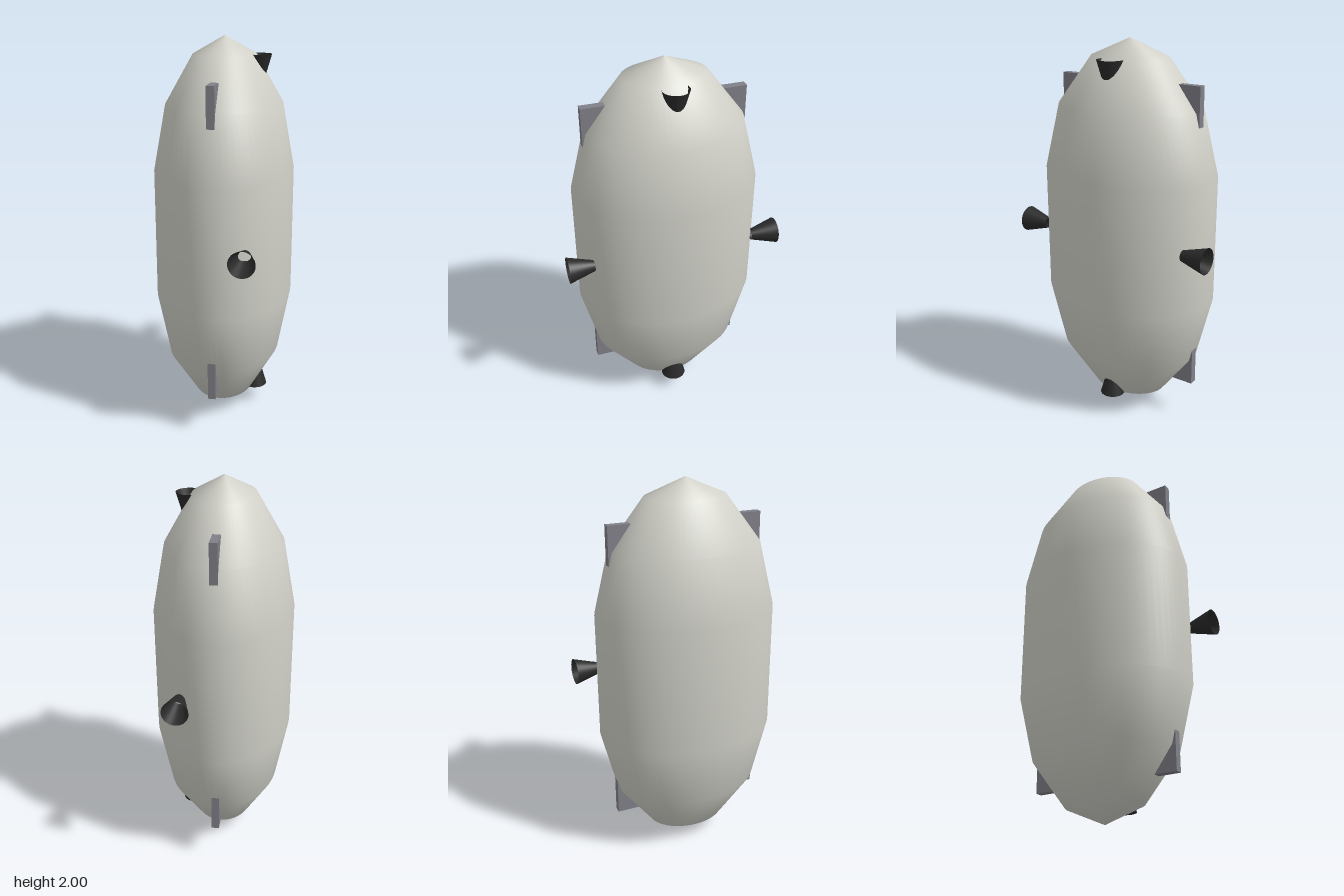
import * as THREE from 'three';

export function createModel() {
  const model = new THREE.Group();
  const mat = (name, color) => new THREE.MeshStandardMaterial({ name, color });
  const hullMat = mat('pale grey hull', 0xd0d0c8);
  const finMat = mat('mid grey fins', 0x808088);
  const nozzleMat = mat('dark nozzles', 0x2a2a2a);
  nozzleMat.side = THREE.DoubleSide;

  const add = (name, geometry, material, x, y, z) => {
    const mesh = new THREE.Mesh(geometry, material);
    mesh.name = name;
    mesh.position.set(x, y, z);
    model.add(mesh);
    return mesh;
  };

  // Hull: mirrored capsule profile, flattened to an oval section
  const half = [[0.358, 0.333], [0.296, 0.667], [0.158, 0.91], [0, 1]];
  const profile = [
    ...half.map(([r, y]) => new THREE.Vector2(r, -y)).reverse(),
    ...half.map(([r, y]) => new THREE.Vector2(r, y)),
  ];
  const hull = new THREE.LatheGeometry(profile, 64);
  hull.scale(1, 1, 0.478 / 0.358);
  add('hull', hull, hullMat, 0, 1, 0);

  // Hollow flared nozzles, wide end pointing away from the hull
  const nozzle = new THREE.CylinderGeometry(0.067, 0.028, 0.135, 32, 1, true);
  for (const s of [1, -1]) {
    const end = add(s > 0 ? 'topNozzle' : 'bottomNozzle', nozzle, nozzleMat, 0.17, 1 + s * 0.843, 0);
    if (s < 0) end.rotation.x = Math.PI;
    const side = add(s > 0 ? 'frontNozzle' : 'backNozzle', nozzle, nozzleMat, 0.17, 1, s * 0.492);
    side.rotation.x = s * Math.PI / 2;
  }

  // Four small fins, upper and lower, front and back
  const fin = new THREE.BoxGeometry(0.04, 0.2, 0.2);
  for (const sy of [1, -1]) {
    for (const sz of [1, -1]) {
      const name = (sy > 0 ? 'upper' : 'lower') + (sz > 0 ? 'Front' : 'Back') + 'Fin';
      add(name, fin, finMat, 0, 1 + sy * 0.7, sz * 0.312);
    }
  }

  return model;
}
